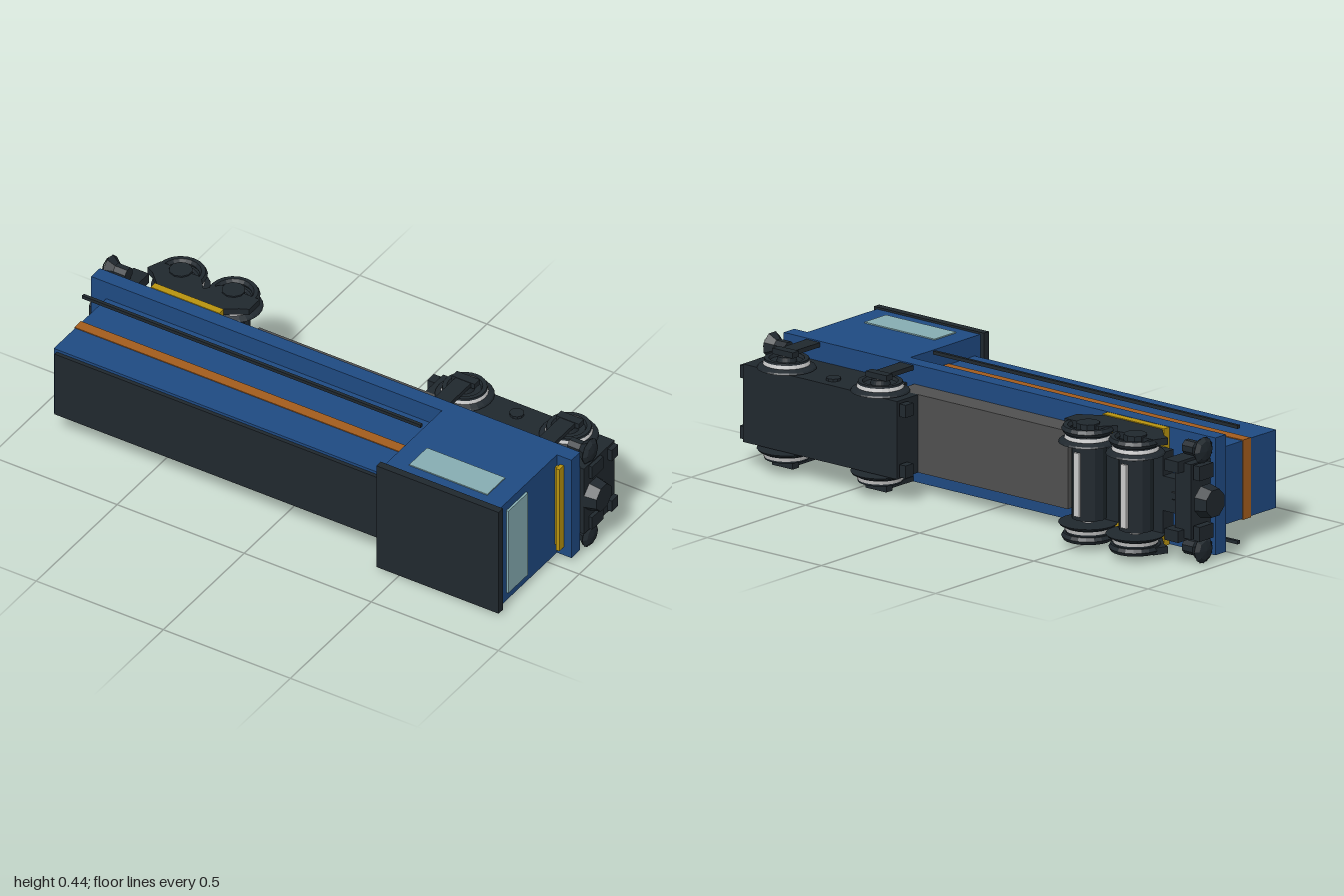
import * as THREE from 'three';

const mat = (c) => new THREE.MeshStandardMaterial({ color: c, flatShading: true });
const M = {
  blue: mat(0x1f4a82), dark: mat(0x20282e), glass: mat(0x86adb2), yellow: mat(0xb8930f),
  orange: mat(0xa35c1c), grey: mat(0x505050), steel: mat(0xcccccc),
};

// Working frame: x along the locomotive, y its up, z across. Turned on its side at the end.
function add(parent, name, geometry, material, x = 0, y = 0, z = 0) {
  const m = new THREE.Mesh(geometry, material);
  m.name = name;
  m.position.set(x, y, z);
  parent.add(m);
  return m;
}
const box = (p, name, material, x0, x1, y0, y1, z0, z1) =>
  add(p, name, new THREE.BoxGeometry(x1 - x0, y1 - y0, z1 - z0), material,
    (x0 + x1) / 2, (y0 + y1) / 2, (z0 + z1) / 2);
const acrossCyl = (r, len, n = 16) => new THREE.CylinderGeometry(r, r, len, n).rotateX(Math.PI / 2);
const alongCyl = (r0, r1, len, n = 8) =>
  new THREE.CylinderGeometry(r0, r1, len, n).rotateZ(-Math.PI / 2).rotateX(Math.PI / 8);

// Flanged wheel facing outwards on side s
function wheel(p, x, y, s) {
  const g = new THREE.Group();
  g.name = 'wheel';
  const pts = [[0.018, 0], [0.1, 0], [0.096, 0.006], [0.078, 0.014], [0.075, 0.034], [0.06, 0.034],
    [0.055, 0.024], [0.034, 0.024], [0.03, 0.04], [0.018, 0.04]].map((q) => new THREE.Vector2(...q));
  const rim = add(g, 'wheelDisc', new THREE.LatheGeometry(pts, 24), M.dark);
  rim.material = M.wheel;
  add(g, 'tread', new THREE.CylinderGeometry(0.077, 0.08, 0.012, 24, 1, true), M.steel, 0, 0.021, 0);
  for (const a of [0, Math.PI / 2]) {
    const bar = add(g, 'hubCross', new THREE.BoxGeometry(0.034, 0.042, 0.011), M.steel, 0, 0.021, 0);
    bar.rotation.y = a;
  }
  g.rotation.x = s * Math.PI / 2;
  g.position.set(x, y, s * 0.139);
  p.add(g);
}
M.wheel = mat(0x20282e);
M.wheel.side = THREE.DoubleSide;

// Coupler and pair of buffers at end e
function endGear(p, e) {
  const g = new THREE.Group();
  g.name = 'endGear';
  add(g, 'couplerHead', alongCyl(0.05, 0.06, 0.045), M.dark, 0.976, -0.155, 0);
  add(g, 'couplerShank', alongCyl(0.03, 0.03, 0.14), M.dark, 0.9, -0.155, 0);
  for (const s of [-1, 1]) {
    const b = new THREE.SphereGeometry(0.047, 8, 2, 0, Math.PI * 2, 0, Math.PI / 2);
    b.scale(1, 0.35, 1).rotateZ(-Math.PI / 2);
    add(g, 'bufferHead', b, M.dark, 0.944, -0.153, s * 0.172);
    add(g, 'bufferShank', alongCyl(0.047, 0.024, 0.03), M.dark, 0.929, -0.153, s * 0.172);
    add(g, 'bufferSleeve', alongCyl(0.026, 0.026, 0.06), M.dark, 0.9, -0.153, s * 0.172);
    box(g, 'hose', M.dark, 0.94, 0.968, -0.2, -0.13, s * 0.105 - 0.025, s * 0.105 + 0.025);
  }
  if (e < 0) g.rotation.y = Math.PI;
  p.add(g);
}

// Boxed bogie under the cab
function cabBogie(p) {
  const g = new THREE.Group();
  g.name = 'cabBogie';
  box(g, 'bogieFrame', M.dark, 0.4, 0.955, -0.29, -0.1, -0.135, 0.135);
  box(g, 'bogieTail', M.dark, 0.28, 0.4, -0.29, -0.17, -0.135, 0.135);
  for (const s of [-1, 1]) {
    for (const x of [0.4, 0.81]) {
      wheel(g, x, -0.235, s);
      box(g, 'axleBox', M.dark, x - 0.045, x + 0.045, -0.257, -0.225, s * 0.192 - 0.01, s * 0.192 + 0.01);
      box(g, 'hanger', M.dark, x - 0.03, x + 0.03, -0.225, -0.1, s * 0.192 - 0.008, s * 0.192 + 0.008);
    }
    add(g, 'pivotCap', acrossCyl(0.025, 0.012, 10), M.dark, 0.605, -0.235, s * 0.138);
    for (const x of [0.262, 0.96])
      box(g, 'guardIron', M.dark, x - 0.015, x + 0.012, -0.285, -0.245, s * 0.105 - 0.022, s * 0.105 + 0.022);
  }
  p.add(g);
}

// Open bogie with arched side frames
function rearBogie(p) {
  const g = new THREE.Group();
  g.name = 'rearBogie';
  const axles = [-0.717, -0.51];
  box(g, 'bolster', M.yellow, -0.75, -0.48, -0.127, -0.1, -0.203, 0.203);
  box(g, 'crossFrame', M.dark, -0.79, -0.43, -0.18, -0.125, -0.14, 0.14);
  for (const x of axles) {
    add(g, 'motor', acrossCyl(0.06, 0.25, 12), M.dark, x, -0.23, 0);
    add(g, 'axle', acrossCyl(0.02, 0.4, 12), M.steel, x, -0.235, 0);
    box(g, 'axleCover', M.steel, x - 0.012, x + 0.012, -0.296, -0.28, -0.11, 0.11);
    for (const s of [-1, 1]) {
      wheel(g, x, -0.235, s);
      add(g, 'axleBox', acrossCyl(0.04, 0.03, 10), M.dark, x, -0.235, s * 0.19);
      add(g, 'archRing', new THREE.TorusGeometry(0.076, 0.014, 6, 20), M.dark, x, -0.235, s * 0.185);
    }
  }
  const side = new THREE.Shape([[-0.82, -0.19], [-0.79, -0.175], [-0.74, -0.125], [-0.49, -0.125],
    [-0.44, -0.16], [-0.41, -0.175], [-0.41, -0.24], [-0.56, -0.24], [-0.6, -0.19], [-0.64, -0.24],
    [-0.8, -0.24]].map((q) => new THREE.Vector2(...q)));
  const sideGeo = new THREE.ExtrudeGeometry(side, { depth: 0.024, bevelEnabled: false });
  for (const s of [-1, 1]) add(g, 'sideFrame', sideGeo, M.dark, 0, 0, s * 0.188 - 0.012);
  box(g, 'drawGear', M.dark, -0.93, -0.86, -0.2, -0.1, -0.13, 0.13);
  box(g, 'drawBar', M.dark, -0.9, -0.79, -0.18, -0.13, -0.06, 0.06);
  for (const s of [-1, 1])
    box(g, 'guardIron', M.dark, -0.9, -0.84, -0.23, -0.12, s * 0.12 - 0.02, s * 0.12 + 0.02);
  p.add(g);
}

export function createModel() {
  const model = new THREE.Group();
  model.name = 'locomotive';
  const body = new THREE.Group();
  body.name = 'body';
  model.add(body);

  // Deck, hood and cab
  box(body, 'deck', M.blue, -0.948, 0.942, -0.097, -0.043, -0.203, 0.203);
  box(body, 'hood', M.blue, -0.888, 0.435, -0.043, 0.282, -0.135, 0.135);
  box(body, 'hoodRoof', M.dark, -0.876, 0.42, 0.28, 0.296, -0.125, 0.125);
  box(body, 'stripe', M.orange, -0.891, 0.432, 0.11, 0.15, -0.138, 0.138);
  box(body, 'cab', M.blue, 0.432, 0.885, -0.043, 0.312, -0.203, 0.203);
  box(body, 'cabRoof', M.dark, 0.417, 0.898, 0.311, 0.338, -0.21, 0.21);
  box(body, 'endWindow', M.glass, 0.88, 0.893, 0.148, 0.27, -0.17, 0.17);
  box(body, 'endBar', M.yellow, 0.898, 0.912, -0.043, -0.015, -0.169, 0.169);
  box(body, 'endBarFoot', M.yellow, 0.88, 0.9, -0.043, -0.03, -0.16, 0.16);
  for (const s of [-1, 1]) {
    box(body, 'sideWindow', M.glass, 0.503, 0.81, 0.16, 0.27, s * 0.202 - 0.005, s * 0.202 + 0.005);
    box(body, 'handrail', M.dark, -0.915, 0.418, 0.054, 0.066, s * 0.2 - 0.006, s * 0.2 + 0.006);
  }

  // Underside
  box(body, 'tank', M.grey, -0.375, 0.37, -0.182, -0.095, -0.135, 0.135);
  cabBogie(body);
  rearBogie(body);
  endGear(body, 1);
  endGear(body, -1);

  // Lay the locomotive on its side
  body.rotation.x = Math.PI / 2;
  body.position.y = 0.222;
  return model;
}
